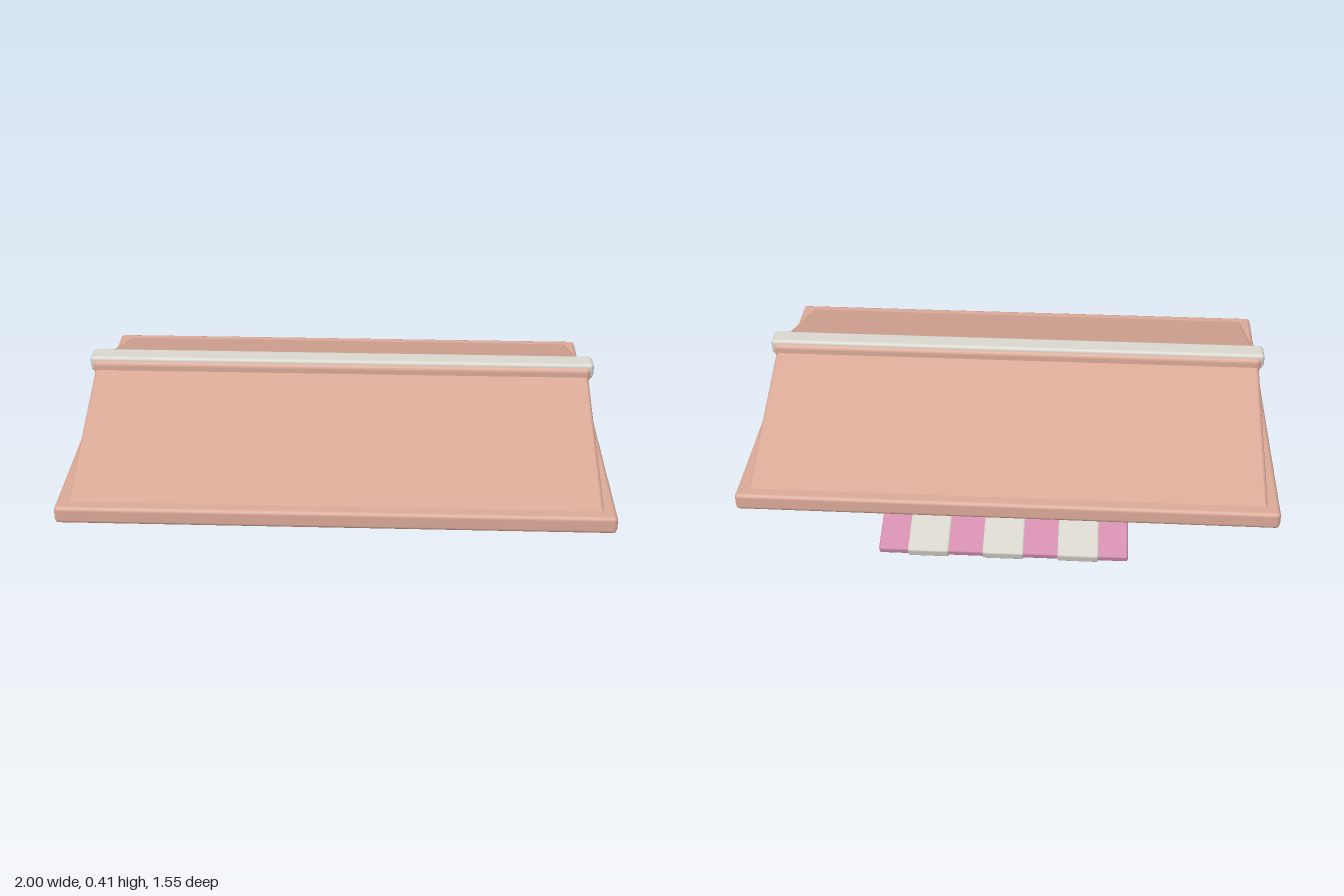
import * as THREE from 'three';
import { RoundedBoxGeometry } from 'three/addons/geometries/RoundedBoxGeometry.js';

export function createModel() {
  const model = new THREE.Group();
  model.name = 'gableRoof';

  const mat = (name, color) => {
    const m = new THREE.MeshStandardMaterial({ color });
    m.name = name;
    return m;
  };
  const clay = mat('clay', 0xd9a896);
  const cream = mat('cream', 0xd9d6cd);
  const pink = mat('pink', 0xd48fae);

  // softly bevelled box, tilted about the x axis
  const slab = (name, material, size, pos, bevel, tilt = 0, parent = model) => {
    const mesh = new THREE.Mesh(new RoundedBoxGeometry(...size, 1, bevel), material);
    mesh.name = name;
    mesh.position.set(...pos);
    mesh.rotation.x = tilt;
    parent.add(mesh);
    return mesh;
  };

  const ridgeZ = 0.07;

  // flat base
  slab('roofBase', clay, [2, 0.067, 1.41], [0, 0.112, ridgeZ], 0.015);

  // two sloping panels meeting at the ridge
  for (const s of [1, -1]) {
    slab(s > 0 ? 'frontPanel' : 'rearPanel', clay, [1.91, 0.064, 0.7],
      [0, 0.231, ridgeZ + s * 0.329], 0.013, s * 0.338);
  }

  // ridge beam with a pale cap
  slab('ridgeBeam', clay, [1.93, 0.06, 0.112], [0, 0.367, ridgeZ], 0.02);
  slab('ridgeCap', cream, [1.95, 0.062, 0.084], [0, 0.378, ridgeZ], 0.014);

  // striped awning under the rear edge
  const awning = new THREE.Group();
  awning.name = 'awning';
  awning.position.set(0, 0.065, -0.615);
  awning.rotation.x = -0.291;
  model.add(awning);
  slab('awningSheet', pink, [0.9, 0.03, 0.316], [0, 0, 0], 0.008, 0, awning);
  for (const x of [-0.27, 0, 0.27]) {
    slab('awningStripe', cream, [0.15, 0.038, 0.326], [x, 0, 0], 0.008, 0, awning);
  }

  return model;
}
